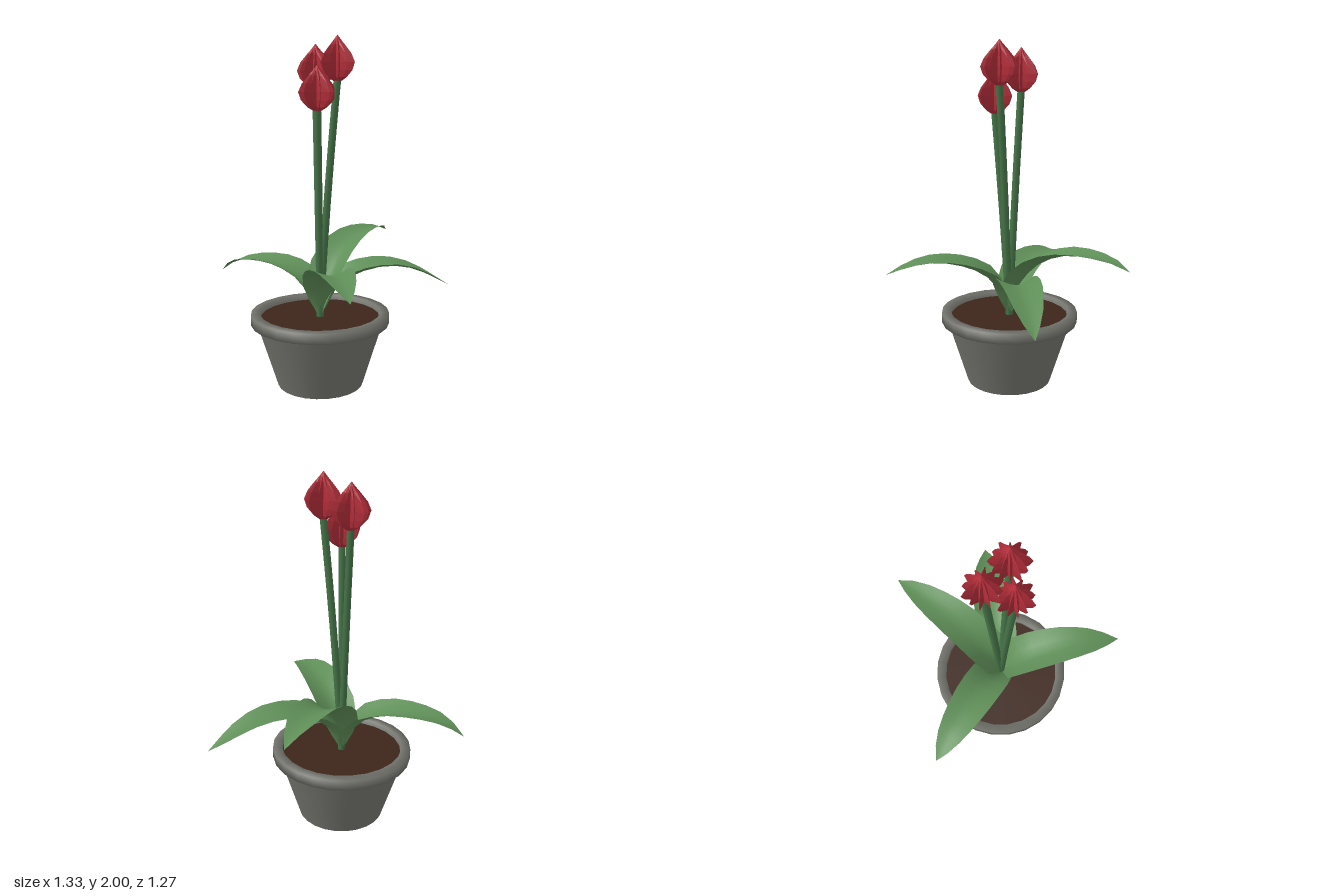
import * as THREE from 'three';

const CX = -0.128, CZ = -0.088; // pot centre
const mat = (color, extra = {}) => new THREE.MeshStandardMaterial({ color, ...extra });
const lathe = (pts) => new THREE.LatheGeometry(pts.map(([r, y]) => new THREE.Vector2(r, y)), 24);

function addMesh(parent, name, geometry, material) {
  const mesh = new THREE.Mesh(geometry, material);
  mesh.name = name;
  parent.add(mesh);
  return mesh;
}

// Surface through rows of points; closed rows wrap around
function gridGeometry(rows, closed) {
  const n = rows[0].length, index = [];
  for (let i = 0; i < rows.length - 1; i++) {
    for (let j = 0; j < (closed ? n : n - 1); j++) {
      const k = (j + 1) % n;
      const a = i * n + j, b = i * n + k, c = (i + 1) * n + k, d = (i + 1) * n + j;
      index.push(a, b, d, b, c, d);
    }
  }
  const g = new THREE.BufferGeometry();
  g.setAttribute('position', new THREE.Float32BufferAttribute(rows.flat(2), 3));
  g.setIndex(index);
  g.computeVertexNormals();
  return g;
}

// Half width and channel depth at even steps from leaf base to tip
const HALF_WIDTH = [0.012, 0.065, 0.105, 0.119, 0.12, 0.116, 0.107, 0.093, 0.073, 0.042, 0.001];
const DEPTH = [0.01, 0.04, 0.055, 0.055, 0.046, 0.038, 0.03, 0.022, 0.014, 0.006, 0];

// Arching leaf: midline of [distance, height] points, swept with a channelled section
function leafGeometry(midline, tipX, tipZ) {
  const angle = Math.atan2(tipZ - CZ, tipX - CX);
  const dx = Math.cos(angle), dz = Math.sin(angle);
  const curve = new THREE.CatmullRomCurve3(midline.map(([r, y]) => new THREE.Vector3(r, y, 0)));
  const rows = HALF_WIDTH.map((w, i) => {
    const u = i / (HALF_WIDTH.length - 1);
    const p = curve.getPointAt(u), t = curve.getTangentAt(u);
    const row = [];
    for (let j = -3; j <= 3; j++) {
      const s = j / 3, lift = DEPTH[i] * Math.pow(Math.abs(s), 1.5);
      const r = p.x - t.y * lift, y = p.y + t.x * lift;
      row.push([CX + dx * r - dz * w * s, y, CZ + dz * r + dx * w * s]);
    }
    return row;
  });
  return gridGeometry(rows, false);
}

// Flower bud: pleated petals forming a star section that swells and closes to a point
function budGeometry(points) {
  const profile = [[0.014, 0], [0.055, 0.025], [0.09, 0.062], [0.105, 0.105],
    [0.085, 0.15], [0.045, 0.198], [0.018, 0.228], [0.001, 0.25]];
  const rows = profile.map(([r, y]) => {
    const row = [];
    for (let j = 0; j < points * 2; j++) {
      const a = -j * Math.PI / points; // runs so that faces point outward
      const valley = Math.min(r, 0.02 + r * 0.24);
      const k = j % 2 ? valley : r * (j % 4 ? 0.9 : 1);
      row.push([Math.cos(a) * k, y, Math.sin(a) * k]);
    }
    return row;
  });
  return gridGeometry(rows, true);
}

export function createModel() {
  const model = new THREE.Group();
  model.name = 'pottedPlant';
  const potMat = mat(0x74746e);
  const leafMat = mat(0x5f8f58, { side: THREE.DoubleSide });
  const stemMat = mat(0x467548);
  const petalMat = mat(0xb02c38, { flatShading: true, side: THREE.DoubleSide });

  // Pot: tapered body, thick rim and soil
  const pot = new THREE.Group();
  pot.name = 'pot';
  pot.position.set(CX, 0, CZ);
  model.add(pot);
  addMesh(pot, 'potBody', lathe([[0.25, 0], [0.37, 0.385]]), potMat);
  addMesh(pot, 'potBase', new THREE.CircleGeometry(0.25, 24).rotateX(Math.PI / 2), potMat);
  addMesh(pot, 'potRim', lathe([[0.35, 0.372], [0.403, 0.374], [0.403, 0.433], [0.35, 0.435], [0.345, 0.385]]), potMat);
  addMesh(pot, 'soil', new THREE.CircleGeometry(0.35, 24).rotateX(-Math.PI / 2), mat(0x3d261b)).position.y = 0.405;

  // Leaves
  const leaves = [
    ['backRightLeaf', -0.67, -0.53, [[0, 0.41], [0.06, 0.53], [0.14, 0.62], [0.26, 0.675], [0.4, 0.695], [0.55, 0.685], [0.63, 0.655], [0.7, 0.605]]],
    ['backLeftLeaf', 0.405, -0.64, [[0, 0.41], [0.04, 0.55], [0.11, 0.66], [0.22, 0.76], [0.37, 0.825], [0.53, 0.845], [0.68, 0.835], [0.77, 0.8]]],
    ['leftLeaf', 0.66, -0.09, [[0, 0.41], [0.06, 0.53], [0.15, 0.62], [0.27, 0.67], [0.41, 0.69], [0.56, 0.665], [0.68, 0.61], [0.79, 0.55]]],
    ['frontLeaf', -0.098, 0.632, [[0, 0.41], [0.05, 0.53], [0.13, 0.64], [0.27, 0.715], [0.44, 0.75], [0.59, 0.735], [0.72, 0.69]]],
  ];
  for (const [name, x, z, midline] of leaves) addMesh(model, name, leafGeometry(midline, x, z), leafMat);

  // Stems with a bud on each
  const flowers = [['low', -0.15, 1.59, -0.005], ['high', -0.037, 1.75, -0.015], ['back', -0.135, 1.71, -0.152]];
  flowers.forEach(([name, x, y, z], i) => {
    const path = new THREE.QuadraticBezierCurve3(
      new THREE.Vector3(CX, 0.4, CZ),
      new THREE.Vector3(CX + (x - CX) * 0.35, 0.4 + (y - 0.4) * 0.5, CZ + (z - CZ) * 0.4),
      new THREE.Vector3(x, y + 0.015, z));
    addMesh(model, name + 'Stem', new THREE.TubeGeometry(path, 10, 0.021, 8), stemMat);
    const bud = addMesh(model, name + 'Flower', budGeometry(12), petalMat);
    bud.position.set(x, y, z);
    bud.rotation.y = i * 0.4;
  });

  return model;
}
